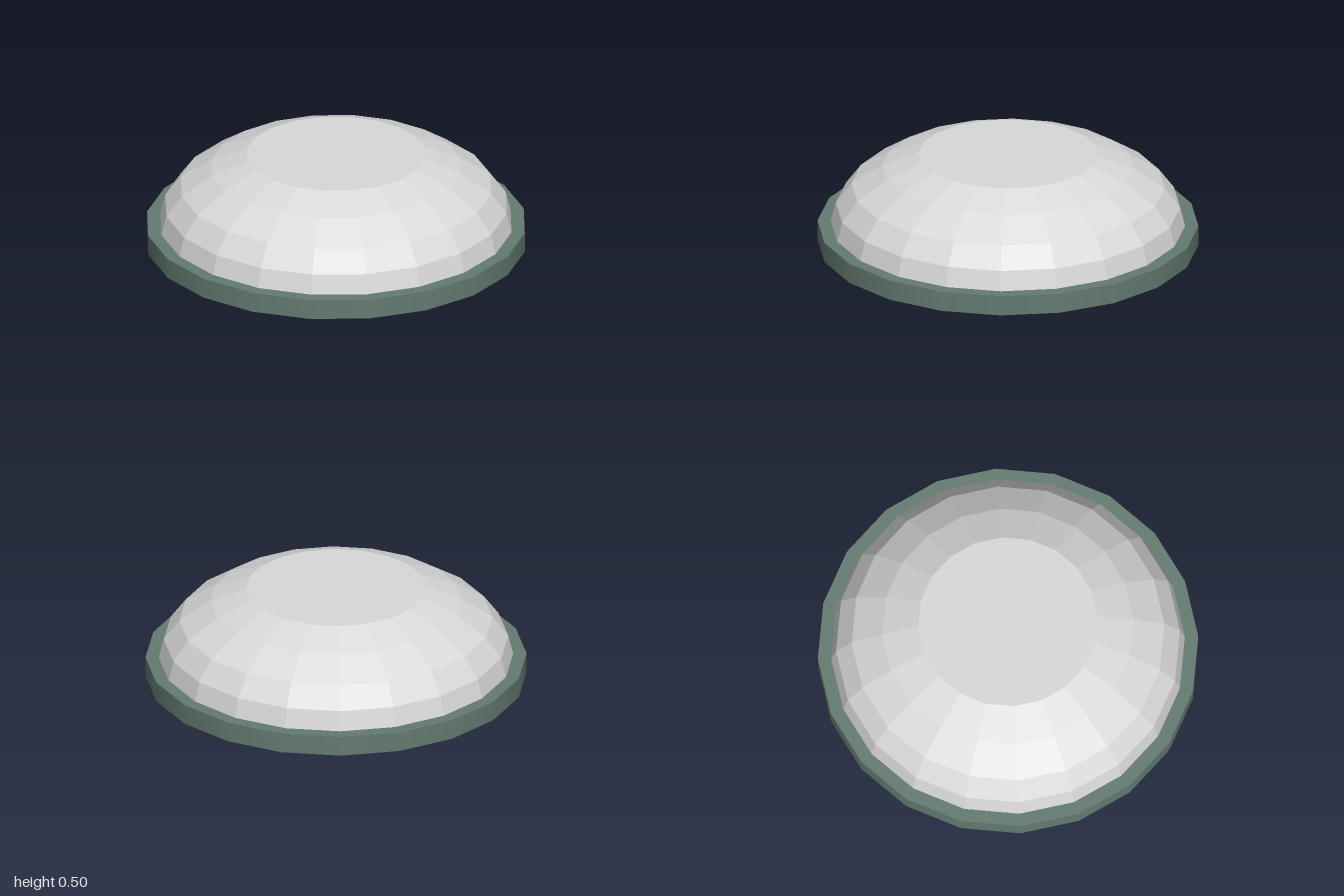
import * as THREE from 'three';

const SIDES = 20;

export function createModel() {
  const model = new THREE.Group();
  model.name = 'domeLamp';

  const paleGrey = new THREE.MeshStandardMaterial({ color: 0xd9d9d9, side: THREE.DoubleSide });
  paleGrey.name = 'paleGrey';
  const greyGreen = new THREE.MeshStandardMaterial({ color: 0x647b71, side: THREE.DoubleSide });
  greyGreen.name = 'greyGreen';

  const add = (name, geometry, material, y = 0) => {
    const mesh = new THREE.Mesh(geometry, material);
    mesh.name = name;
    mesh.position.y = y;
    model.add(mesh);
  };

  // Base rim: open smooth wall with a flat ledge, hollow underneath
  const rimHeight = 0.108;
  add('rimWall', new THREE.CylinderGeometry(1, 1, rimHeight, SIDES, 1, true), greyGreen, rimHeight / 2);
  add('rimLedge', new THREE.RingGeometry(0.93, 1, SIDES).rotateX(-Math.PI / 2), greyGreen, rimHeight);

  // Faceted dome shell, from the ledge up to the flat top
  const profile = [[0.93, rimHeight], [0.904, 0.212], [0.822, 0.322], [0.66, 0.428], [0.472, 0.502]]
    .map(([r, y]) => new THREE.Vector2(r, y));
  const shell = new THREE.LatheGeometry(profile, SIDES).toNonIndexed();
  shell.computeVertexNormals();
  add('domeShell', shell, paleGrey);

  // Flat top of the dome
  add('domeTop', new THREE.CircleGeometry(0.472, SIDES).rotateX(-Math.PI / 2), paleGrey, 0.502);

  return model;
}
